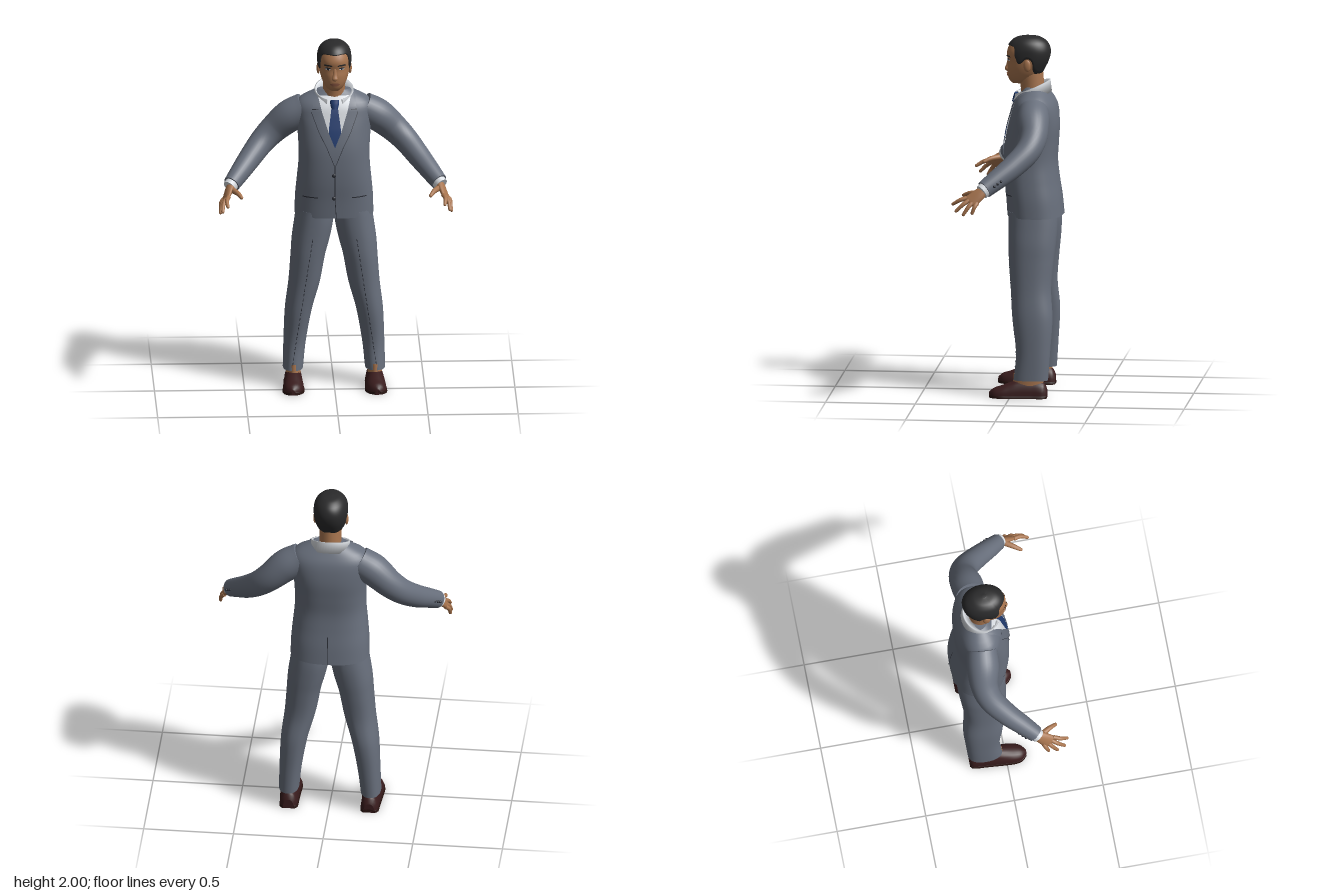
import * as THREE from 'three';

const paint = (name, color) => new THREE.MeshStandardMaterial({ name, color, side: THREE.DoubleSide });

// Smooth interpolation of a table whose rows are [key, ...values]
function at(t, v) {
  let i = 0;
  while (i < t.length - 2 && v > t[i + 1][0]) i++;
  const a = t[i], b = t[i + 1], p = t[Math.max(i - 1, 0)], q = t[Math.min(i + 2, t.length - 1)];
  const h = b[0] - a[0], u = THREE.MathUtils.clamp((v - a[0]) / h, 0, 1), w = 1 - u;
  return a.map((A, k) => {
    const m0 = (b[k] - p[k]) / (b[0] - p[0]) * h, m1 = (q[k] - A) / (q[0] - a[0]) * h;
    return A * (1 + 2 * u) * w * w + m0 * u * w * w + b[k] * u * u * (3 - 2 * u) - m1 * u * u * w;
  });
}

function build(points, index) {
  const g = new THREE.BufferGeometry().setFromPoints(points);
  g.setIndex(index);
  g.computeVertexNormals();
  return g;
}

// Skin over closed rings, with flat caps at both ends
function loft(rings, caps = true) {
  const n = rings[0].length, pts = rings.flat(), idx = [];
  for (let i = 0; i < rings.length - 1; i++) for (let j = 0; j < n; j++) {
    const k = (j + 1) % n, a = i * n + j, b = i * n + k;
    idx.push(a, a + n, b + n, a, b + n, b);
  }
  if (caps) [rings[0], rings.at(-1)].forEach((ring, e) => {
    const c = pts.length;
    pts.push(ring.reduce((s, p) => s.add(p), new THREE.Vector3()).divideScalar(n), ...ring);
    for (let j = 0; j < n; j++) {
      const p = c + 1 + j, q = c + 1 + (j + 1) % n;
      idx.push(c, e ? q : p, e ? p : q);
    }
  });
  return build(pts, idx);
}

// Body tables: [y, centre x, half width, front z, back z, squareness]
function bodyPoint(table, y, a, grow = 0) {
  const [, cx, rx, zf, zb, n] = at(table, y), c = Math.cos(a), s = Math.sin(a);
  const pw = v => Math.sign(v) * Math.abs(v) ** (2 / n);
  return new THREE.Vector3(cx + (rx + grow) * pw(c), y, (zf + zb) / 2 + ((zf - zb) / 2 + grow) * pw(s));
}
function body(table, steps, n = 48) {
  const y0 = table[0][0], y1 = table.at(-1)[0];
  return loft(Array.from({ length: steps + 1 }, (_, i) => Array.from({ length: n },
    (_, j) => bodyPoint(table, y0 + (y1 - y0) * i / steps, j / n * Math.PI * 2))));
}

// Thin plate lying on a body; rows run downward as [y, x0, x1]
function panel(table, rows, off, dir = 1) {
  const pts = [], idx = [], C = 6, S = 4, L = (rows.length - 1) * S;
  for (let i = 0; i <= L; i++) {
    const k = Math.min(Math.floor(i / S), rows.length - 2), u = i / S - k;
    const [y, x0, x1] = rows[k].map((v, m) => v + (rows[k + 1][m] - v) * u);
    const [, cx, rx, zf, zb, n] = at(table, y);
    for (let j = 0; j <= C; j++) {
      const x = x0 + (x1 - x0) * j / C, r = Math.min(Math.abs(x - cx) / rx, 1);
      pts.push(new THREE.Vector3(x, y, (zf + zb) / 2 + dir * ((zf - zb) / 2 * (1 - r ** n) ** (1 / n) + off)));
      if (i < L && j < C) {
        const a = i * (C + 1) + j, b = a + C + 1;
        idx.push(...(dir > 0 ? [a, b, b + 1, a, b + 1, a + 1] : [a, b + 1, b, a, a + 1, b + 1]));
      }
    }
  }
  return build(pts, idx);
}

// Tapered limb through rows [x, y, z, radius across ref, radius along ref]
function limb(rows, ref, round = false, steps = 6, n = 20) {
  const t = rows.map((r, i) => [i, ...r]), R = new THREE.Vector3(...ref), rings = [], L = (rows.length - 1) * steps;
  const pos = v => new THREE.Vector3(...at(t, v).slice(1, 4));
  const ring = (v, push, k) => {
    const [, , , , rx, rz] = at(t, v), T = pos(Math.min(v + .05, rows.length - 1)).sub(pos(Math.max(v - .05, 0))).normalize();
    const X = T.clone().cross(R).normalize(), Z = X.clone().cross(T), c = pos(v).addScaledVector(T, push * rx);
    rings.push(Array.from({ length: n }, (_, j) => c.clone()
      .addScaledVector(X, Math.cos(j / n * Math.PI * 2) * rx * k).addScaledVector(Z, Math.sin(j / n * Math.PI * 2) * rz * k)));
  };
  for (let i = 0; i <= L; i++) ring(i / steps, 0, 1);
  if (round) [[.5, .87], [.85, .53], [1, .1]].forEach(([p, k]) => ring(rows.length - 1, p, k));
  return loft(rings);
}

function ball(x, y, z, sx, sy, sz) {
  return new THREE.SphereGeometry(1, 20, 14).scale(sx, sy, sz).translate(x, y, z);
}

const TORSO = [[1.0, 0, .219, .035, -.275, 2.5], [1.1, 0, .216, .042, -.265, 2.5], [1.2, 0, .207, .052, -.25, 2.5],
  [1.3, 0, .198, .055, -.24, 2.5], [1.4, 0, .198, .05, -.245, 2.5], [1.5, 0, .205, .032, -.25, 2.5],
  [1.58, 0, .215, .01, -.242, 2.5], [1.63, 0, .212, -.005, -.228, 2.5], [1.665, 0, .185, -.025, -.208, 2.4],
  [1.69, 0, .14, -.045, -.192, 2.2], [1.715, 0, .09, -.06, -.175, 2]];
const LEG = [[.1, .228, .056, -.02, -.212, 2.3], [.25, .218, .062, -.032, -.222, 2.3], [.44, .197, .075, -.01, -.233, 2.3],
  [.6, .166, .087, .002, -.222, 2.3], [.76, .145, .096, .015, -.235, 2.3], [.85, .13, .105, .018, -.245, 2.3],
  [.95, .113, .108, .02, -.252, 2.3], [1.03, .105, .105, .02, -.25, 2.3]];
const HEAD = [[1.733, 0, .028, .012, -.07, 2], [1.75, 0, .048, .028, -.1, 2.1], [1.78, 0, .066, .038, -.14, 2.2],
  [1.82, 0, .079, .04, -.165, 2.2], [1.86, 0, .086, .036, -.185, 2.2], [1.9, 0, .088, .042, -.195, 2.2],
  [1.93, 0, .086, .035, -.193, 2.1], [1.96, 0, .075, .018, -.178, 2], [1.98, 0, .055, -.006, -.152, 2],
  [1.99, 0, .034, -.035, -.125, 2], [1.994, 0, .004, -.075, -.085, 2]];
// Hairline height by angle from the front; shoe rows are [z, centre x, half width, height]
const HAIRLINE = [[0, 1.943], [.6, 1.945], [.95, 1.93], [1.12, 1.86], [1.35, 1.855], [1.55, 1.88], [1.8, 1.865],
  [2.05, 1.81], [2.5, 1.785], [Math.PI, 1.775]];
const SHOE = [[-.205, .225, .03, .055], [-.19, .225, .045, .085], [-.12, .226, .05, .102], [-.04, .228, .054, .097],
  [0, .228, .057, .085], [.05, .23, .056, .066], [.09, .233, .042, .052], [.115, .235, .014, .032]];

export function createModel() {
  const model = new THREE.Group();
  model.name = 'manInSuit';
  const suit = paint('suit grey', 0x686f7c), skin = paint('skin', 0xa8754f), hair = paint('hair', 0x2a2a2b),
    white = paint('shirt white', 0xd9dde2), blue = paint('tie blue', 0x213c70), leather = paint('shoe leather', 0x391c1d),
    sole = paint('shoe sole', 0x27120f), dark = paint('seams and buttons', 0x2c2f37), lip = paint('lips', 0x8a5742);

  const add = (name, geo, mat) => {
    const m = new THREE.Mesh(geo, mat);
    m.name = name;
    model.add(m);
  };
  const both = (name, geo, mat) => {
    add('left' + name, geo, mat);
    const g = geo.clone().scale(-1, 1, 1), ix = g.index.array;
    for (let i = 0; i < ix.length; i += 3) [ix[i], ix[i + 1]] = [ix[i + 1], ix[i]];
    add('right' + name, g, mat);
  };
  const line = (pts, w = .002) => pts.map(([y, x]) => [y, x - w, x + w]);

  // Jacket and sleeves
  add('jacket', body(TORSO, 44), suit);
  both('Sleeve', limb([[.16, 1.6, -.122, .085, .085], [.245, 1.55, -.13, .09, .09], [.33, 1.475, -.138, .077, .079],
    [.4, 1.408, -.11, .069, .071], [.47, 1.335, -.035, .062, .064], [.53, 1.275, .045, .054, .056],
    [.575, 1.23, .105, .046, .05]], [0, 1, 0], false, 6, 28), suit);
  both('Lapel', panel(TORSO, [[1.7, .085, .115], [1.64, .078, .12], [1.61, .07, .13], [1.5, .035, .088],
    [1.415, 0, .045], [1.31, 0, .002]], .009), suit);
  both('LapelEdge', panel(TORSO, line([[1.61, .13], [1.5, .088], [1.415, .045], [1.31, .002]], .0015), .011), dark);
  both('LapelNotch', panel(TORSO, [[1.626, .09, .125], [1.622, .09, .125]], .012), dark);
  both('PocketLine', panel(TORSO, [[1.125, .095, .178], [1.119, .095, .178]], .002), dark);
  add('frontSeam', panel(TORSO, line([[1.31, 0], [1.12, 0], [1.0, .008]], .0018), .003), dark);
  add('backVent', panel(TORSO, line([[1.17, 0], [1.0, 0]]), .003, -1), dark);
  for (const y of [1.255, 1.12]) add('jacketButton', ball(-.006, y, at(TORSO, y)[3] + .002, .011, .011, .006), dark);
  for (let i = 0; i < 3; i++)
    both('SleeveButton', ball(.572 + i * .012, 1.275 - i * .012, .014 + i * .017, .008, .008, .008), dark);

  // Shirt, collar and tie
  add('shirtFront', panel(TORSO, [[1.69, -.085, .085], [1.6, -.075, .075], [1.5, -.042, .042], [1.415, 0, 0]], .004), white);
  const collar = [];
  for (let i = 0; i <= 40; i++) {
    const f = .4 + (Math.PI * 2 - .8) * i / 40, top = 1.715 - .04 * Math.cos(f);
    collar.push([[1.08, -.065], [1, 0], [.94, 0], [.58, -.035]].map(([k, d]) =>
      new THREE.Vector3(.108 * k * Math.sin(f), top + d, -.1 + .1 * k * Math.cos(f))));
  }
  add('shirtCollar', loft(collar), white);
  both('CollarWing', panel(TORSO, [[1.685, .018, .09], [1.65, .026, .08], [1.6, .052, .06]], .013), white);
  add('tieBlade', panel(TORSO, [[1.64, -.017, .017], [1.52, -.033, .033], [1.48, -.034, .034], [1.415, -.003, .003]], .008), blue);
  add('tieKnot', limb([[0, 1.675, -.012, .012, .024], [0, 1.65, -.006, .014, .024], [0, 1.625, .004, .01, .016]], [1, 0, 0]), blue);
  both('ShirtCuff', limb([[.565, 1.24, .092, .04, .043], [.587, 1.217, .119, .037, .041]], [0, 1, 0]), white);

  // Trousers with stitched creases
  both('TrouserLeg', body(LEG, 40, 36), suit);
  for (let i = 0; i < 26; i++) {
    const y = .875 - i * .029, x = .122 + i * .0043;
    both('CreaseStitch', panel(LEG, line([[y, x], [y - .018, x + .0027]], .002), .002), dark);
  }

  // Shoes and ankles
  const shoe = (grow, height) => loft(Array.from({ length: 33 }, (_, i) => {
    const [z, cx, w, h] = at(SHOE, -.205 + .01 * i);
    return Array.from({ length: 24 }, (_, j) => {
      const a = j / 24 * Math.PI * 2, s = Math.max(Math.sin(a), 0);
      return new THREE.Vector3(cx - (w + grow) * Math.cos(a), (height || h) * s ** (height ? .3 : .75), z);
    });
  }));
  both('Shoe', shoe(0, 0), leather);
  both('ShoeSole', shoe(.004, .02), sole);
  both('Ankle', limb([[.226, .06, -.1, .04, .085], [.226, .13, -.105, .04, .085]], [0, 0, 1]), skin);

  // Hands
  const spread = [.3, -.37, -.88];
  both('Palm', limb([[.575, 1.228, .105, .024, .028], [.592, 1.2, .138, .02, .037], [.61, 1.165, .18, .014, .042]], spread, true), skin);
  const tips = [[.602, 1.15, .277], [.63, 1.115, .258], [.641, 1.098, .216], [.64, 1.107, .167]];
  tips.forEach(([x, y, z], i) => {
    const k = -.033 + i * .022, b = [.606 + .3 * k, 1.172 - .37 * k, .172 - .88 * k];
    both('Finger', limb([[...b, .013, .013], [(b[0] + x) / 2 + .007, (b[1] + y) / 2 + .006, (b[2] + z) / 2, .0115, .0115],
      [x, y, z, .009, .009]], spread, true, 5, 12), skin);
  });
  both('Thumb', limb([[.582, 1.208, .13, .018, .018], [.546, 1.202, .188, .014, .014], [.525, 1.187, .226, .01, .01]],
    [0, 1, 0], true, 5, 12), skin);

  // Head, neck and face
  add('neck', limb([[0, 1.64, -.105, .066, .066], [0, 1.72, -.1, .062, .066], [0, 1.8, -.09, .062, .07]], [0, 0, 1]), skin);
  add('head', body(HEAD, 50), skin);
  add('nose', limb([[0, 1.872, .029, .008, .009], [0, 1.835, .036, .009, .012], [0, 1.812, .041, .013, .017]], [1, 0, 0], true), skin);
  both('Ear', ball(.088, 1.842, -.08, .01, .033, .02), skin);
  both('Brow', panel(HEAD, [[1.893, .02, .058], [1.884, .014, .062]], .004), hair);
  both('EyeWhite', panel(HEAD, [[1.871, .03, .046], [1.866, .022, .054], [1.861, .03, .046]], .002), white);
  both('Eyelid', panel(HEAD, [[1.876, .028, .048], [1.869, .019, .057]], .003), dark);
  both('Iris', panel(HEAD, [[1.871, .033, .043], [1.861, .033, .043]], .004), dark);
  add('lips', panel(HEAD, [[1.788, -.012, .012], [1.78, -.03, .03], [1.769, -.014, .014]], .004), lip);

  // Hair cap from the hairline up to the crown
  const hairRings = [];
  for (let i = 0; i <= 24; i++) hairRings.push(Array.from({ length: 72 }, (_, j) => {
    const a = j / 72 * Math.PI * 2, f = Math.acos(THREE.MathUtils.clamp(Math.sin(a), -1, 1));
    const y0 = at(HAIRLINE, f)[1], y = y0 + (1.994 - y0) * Math.sin(i / 24 * Math.PI / 2);
    const p = bodyPoint(HEAD, y, a, i ? .007 : .001);
    p.y += .006 * i / 24;
    return p;
  }));
  add('hair', loft(hairRings, false), hair);
  add('hairCrown', ball(0, 1.99, -.08, .03, .0095, .04), hair);

  return model;
}
